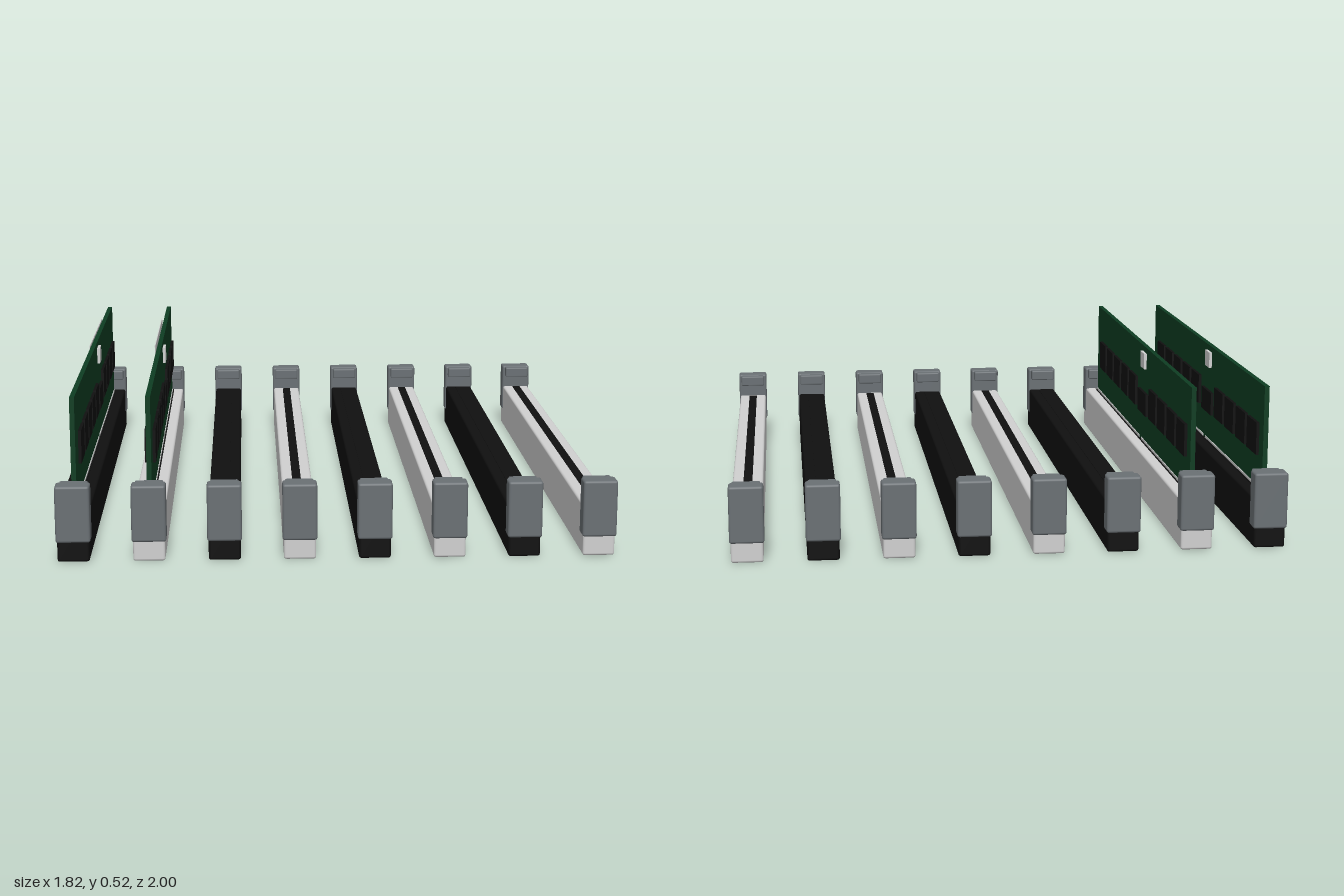
import * as THREE from 'three';
import { RoundedBoxGeometry } from 'three/addons/geometries/RoundedBoxGeometry.js';

const material = (name, color) => {
  const m = new THREE.MeshStandardMaterial({ color });
  m.name = name;
  return m;
};

export function createModel() {
  const black = material('black plastic', 0x101010);
  const white = material('white plastic', 0xd0d0d0);
  const grey = material('grey latch', 0x6a7074);
  const green = material('green board', 0x0e3d22);

  const model = new THREE.Group();
  model.name = 'memorySlots';

  // box given by its minimum and maximum corners, with optional rounded edges
  const box = (parent, name, mat, x0, x1, y0, y1, z0, z1, radius = 0) => {
    const size = [x1 - x0, y1 - y0, z1 - z0];
    const geometry = radius
      ? new RoundedBoxGeometry(...size, 2, radius)
      : new THREE.BoxGeometry(...size);
    const mesh = new THREE.Mesh(geometry, mat);
    mesh.name = name;
    mesh.position.set((x0 + x1) / 2, (y0 + y1) / 2, (z0 + z1) / 2);
    parent.add(mesh);
    return mesh;
  };

  // socket: long body, dark groove strip and a latch at each end
  const addSlot = (x, mat) => {
    const slot = new THREE.Group();
    slot.name = 'slot';
    slot.position.x = x;
    box(slot, 'slotBody', mat, -0.052, 0.052, 0.004, 0.17, -0.99, 0.99, 0.008);
    box(slot, 'slotGroove', black, -0.015, 0.015, 0.164, 0.172, -0.92, 0.92);
    for (const side of [-1, 1]) {
      const latch = new THREE.Group();
      latch.name = 'latch';
      if (side < 0) latch.rotation.y = Math.PI;
      box(latch, 'latchBody', grey, -0.056, 0.056, 0.07, 0.257, 0.935, 1, 0.008);
      box(latch, 'latchHook', grey, -0.046, 0.046, 0.215, 0.254, 0.907, 0.945, 0.005);
      slot.add(latch);
    }
    model.add(slot);
  };

  // chip centres along the board
  const chipZ = [0.735, 0.572, 0.41, 0.245, 0.085, -0.298, -0.46, -0.625, -0.785];

  const addModule = (x) => {
    const stick = new THREE.Group();
    stick.name = 'memoryModule';
    stick.position.x = x;
    box(stick, 'circuitBoard', green, -0.008, 0.008, 0.14, 0.528, -0.903, 0.903);
    for (const side of [-1, 1]) {
      // pale contact strips on both faces, split by the key notch
      const [c0, c1] = side > 0 ? [0.006, 0.0105] : [-0.0105, -0.006];
      box(stick, 'contacts', white, c0, c1, 0.14, 0.18, -0.895, -0.07);
      box(stick, 'contacts', white, c0, c1, 0.14, 0.18, -0.035, 0.895);
      const [x0, x1] = side > 0 ? [0.006, 0.018] : [-0.018, -0.006];
      for (const z of chipZ) {
        box(stick, 'memoryChip', black, x0, x1, 0.285, 0.394, z - 0.065, z + 0.065);
      }
    }
    // controller and small sensor on one face, label on the other
    box(stick, 'controllerChip', black, 0.006, 0.018, 0.28, 0.362, -0.185, -0.03);
    box(stick, 'sensorChip', white, 0.006, 0.018, 0.45, 0.507, -0.143, -0.073);
    box(stick, 'label', white, -0.023, -0.02, 0.39, 0.51, -0.705, -0.105);
    model.add(stick);
  };

  for (let i = 0; i < 8; i++) {
    const x = (i - 3.5) * 0.2437;
    addSlot(x, i % 2 ? white : black);
    if (i < 2) addModule(x);
  }
  return model;
}
